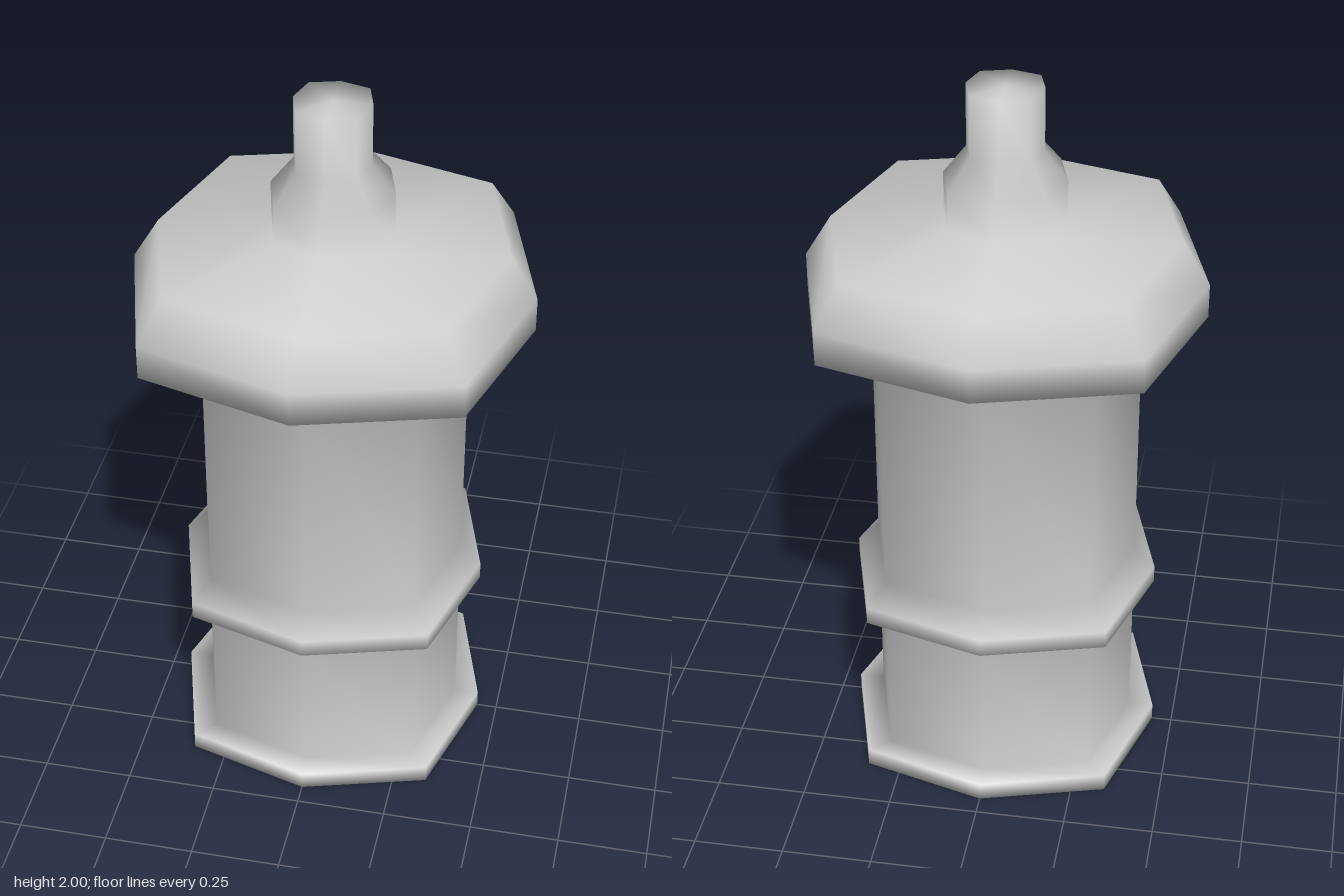
import * as THREE from 'three';
import { mergeVertices } from 'three/addons/utils/BufferGeometryUtils.js';

// Radius and height of each ring, from the bottom cap to the top cap
const profile = [
  [0, 0], [0.443, 0], [0.443, 0.05],          // base plate
  [0.373, 0.05], [0.373, 0.46],               // lower body
  [0.432, 0.5], [0.432, 0.55], [0.373, 0.61], // collar
  [0.373, 1.325],                             // upper body
  [0.548, 1.375], [0.548, 1.47],              // shoulder rim
  [0.475, 1.59], [0.166, 1.635],              // shoulder top
  [0.166, 1.745], [0.104, 1.825],             // neck
  [0.104, 2], [0, 2],                         // stem
];

// Eight-sided lathe whose diagonal corners are pushed out a little
function squaredLathe(points, corner) {
  const lathe = new THREE.LatheGeometry(points.map(([r, y]) => new THREE.Vector2(r, y)), 8);
  const pos = lathe.attributes.position;
  for (let i = 0; i < pos.count; i++) {
    const x = pos.getX(i), z = pos.getZ(i);
    if (Math.abs(x) > 0.01 && Math.abs(z) > 0.01) pos.setXYZ(i, x * corner, pos.getY(i), z * corner);
  }
  // Weld the seam so that the shading is smooth all round
  lathe.deleteAttribute('uv');
  lathe.deleteAttribute('normal');
  const geometry = mergeVertices(lathe, 1e-4);
  geometry.computeVertexNormals();
  return geometry;
}

export function createModel() {
  const group = new THREE.Group();
  group.name = 'turnedPost';
  const material = new THREE.MeshStandardMaterial({ color: 0xcccccc });
  const post = new THREE.Mesh(squaredLathe(profile, 1.097), material);
  post.name = 'post';
  group.add(post);
  return group;
}
